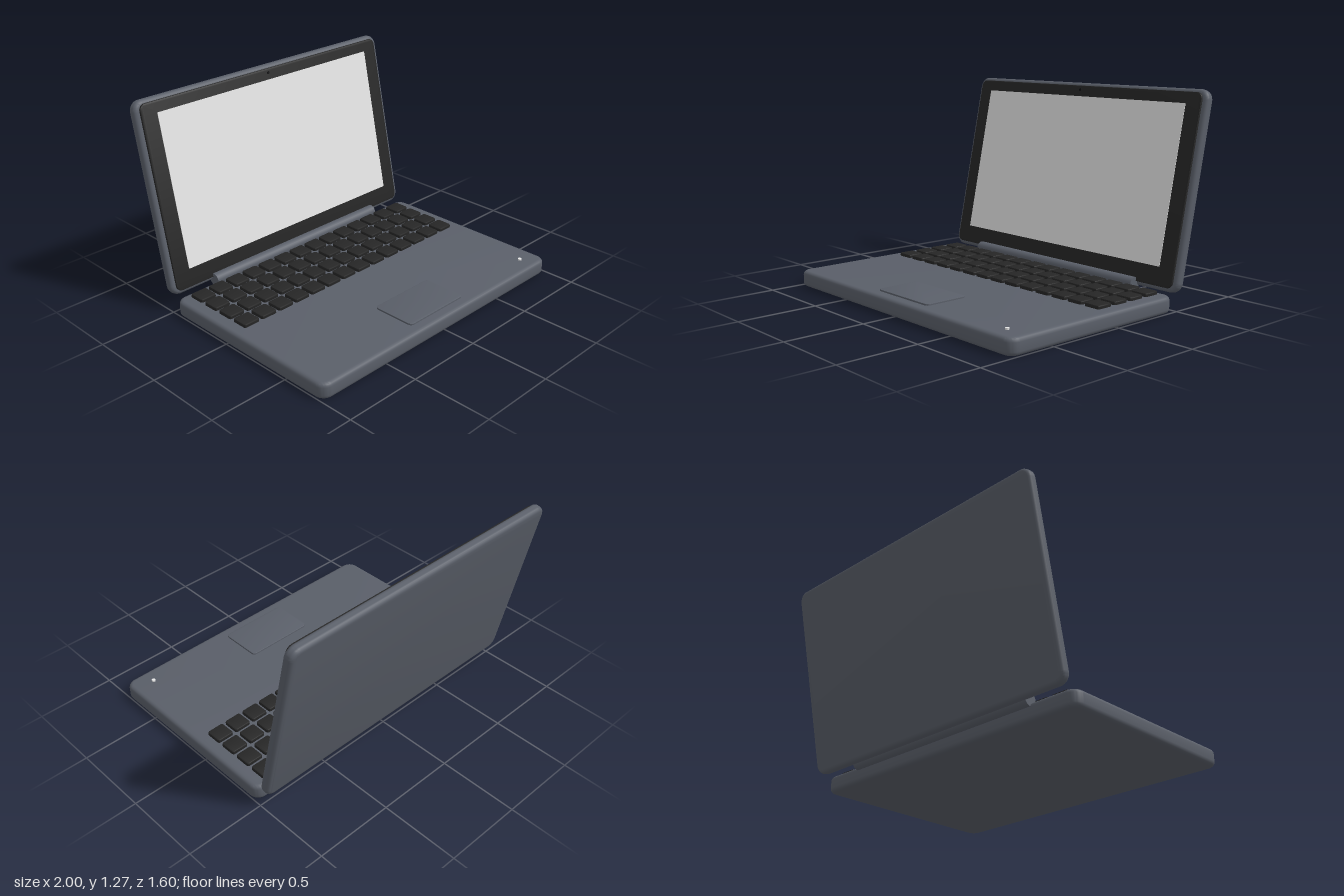
import * as THREE from 'three';
import { toCreasedNormals } from 'three/addons/utils/BufferGeometryUtils.js';

const mat = (name, color) => {
  const m = new THREE.MeshStandardMaterial({ color });
  m.name = name;
  return m;
};

// Slab centred on the origin: rounded outline in XY, softened edges through its thickness in Z
function slab(w, h, t, radius, bevel, segments = 4) {
  const x = w / 2 - bevel, y = h / 2 - bevel, r = Math.max(radius - bevel, 0.002);
  const s = new THREE.Shape();
  s.moveTo(-x + r, -y);
  s.lineTo(x - r, -y);
  s.absarc(x - r, -y + r, r, -Math.PI / 2, 0);
  s.lineTo(x, y - r);
  s.absarc(x - r, y - r, r, 0, Math.PI / 2);
  s.lineTo(-x + r, y);
  s.absarc(-x + r, y - r, r, Math.PI / 2, Math.PI);
  s.lineTo(-x, -y + r);
  s.absarc(-x + r, -y + r, r, Math.PI, Math.PI * 1.5);
  const g = new THREE.ExtrudeGeometry(s, {
    depth: t - 2 * bevel, bevelThickness: bevel, bevelSize: bevel,
    bevelSegments: segments, curveSegments: segments + 2,
  });
  g.translate(0, 0, -(t - 2 * bevel) / 2);
  return toCreasedNormals(g, 0.7);
}

// Same slab lying down, with its thickness along Y
const flatSlab = (...args) => slab(...args).rotateX(-Math.PI / 2);

export function createModel() {
  const shell = mat('grey shell', 0x5a5f69);
  const black = mat('key and bezel black', 0x262626);
  const screenGrey = mat('screen pale grey', 0xe4e4e4);
  const white = mat('indicator white', 0xf4f4f4);
  const lens = mat('lens black', 0x0c0c0e);

  const model = new THREE.Group();
  model.name = 'laptop';
  const add = (parent, name, geometry, material, x, y, z) => {
    const mesh = new THREE.Mesh(geometry, material);
    mesh.name = name;
    mesh.position.set(x, y, z);
    parent.add(mesh);
    return mesh;
  };

  // Base with trackpad and indicator light
  add(model, 'base', flatSlab(2, 1.276, 0.1, 0.065, 0.025), shell, 0, 0.05, 0.164);
  add(model, 'trackpad', flatSlab(0.466, 0.284, 0.02, 0.025, 0.004, 2), shell, 0, 0.1, 0.589);
  add(model, 'indicatorLight', new THREE.CylinderGeometry(0.012, 0.012, 0.02, 16), white, 0.857, 0.1, 0.695);

  // Keyboard: four rows of fourteen keys
  const keyboard = new THREE.Group();
  keyboard.name = 'keyboard';
  model.add(keyboard);
  const keyGeometry = flatSlab(0.112, 0.108, 0.03, 0.014, 0.007, 2);
  for (let row = 0; row < 4; row++) {
    for (let col = 0; col < 14; col++) {
      add(keyboard, 'key', keyGeometry, black, (col - 6.5) * 0.1322, 0.106, -0.378 + row * 0.1325);
    }
  }

  // Hinge barrel
  const barrel = new THREE.CylinderGeometry(0.04, 0.04, 1.4, 24).rotateZ(Math.PI / 2);
  add(model, 'hinge', barrel, shell, 0, 0.115, -0.475);

  // Lid leaning back, carrying bezel, screen and camera
  const lid = new THREE.Group();
  lid.name = 'lid';
  lid.position.set(0, 0.685, -0.647);
  lid.rotation.x = -THREE.MathUtils.degToRad(12);
  model.add(lid);
  add(lid, 'lidShell', slab(2, 1.2, 0.066, 0.065, 0.025), shell, 0, 0, 0);
  add(lid, 'bezel', slab(1.935, 1.155, 0.03, 0.04, 0.006, 2), black, 0, 0, 0.03);
  add(lid, 'screen', new THREE.BoxGeometry(1.72, 0.97, 0.006), screenGrey, 0, 0.022, 0.045);
  add(lid, 'camera', new THREE.CylinderGeometry(0.009, 0.009, 0.006, 16).rotateX(Math.PI / 2), lens, 0, 0.55, 0.045);

  return model;
}
